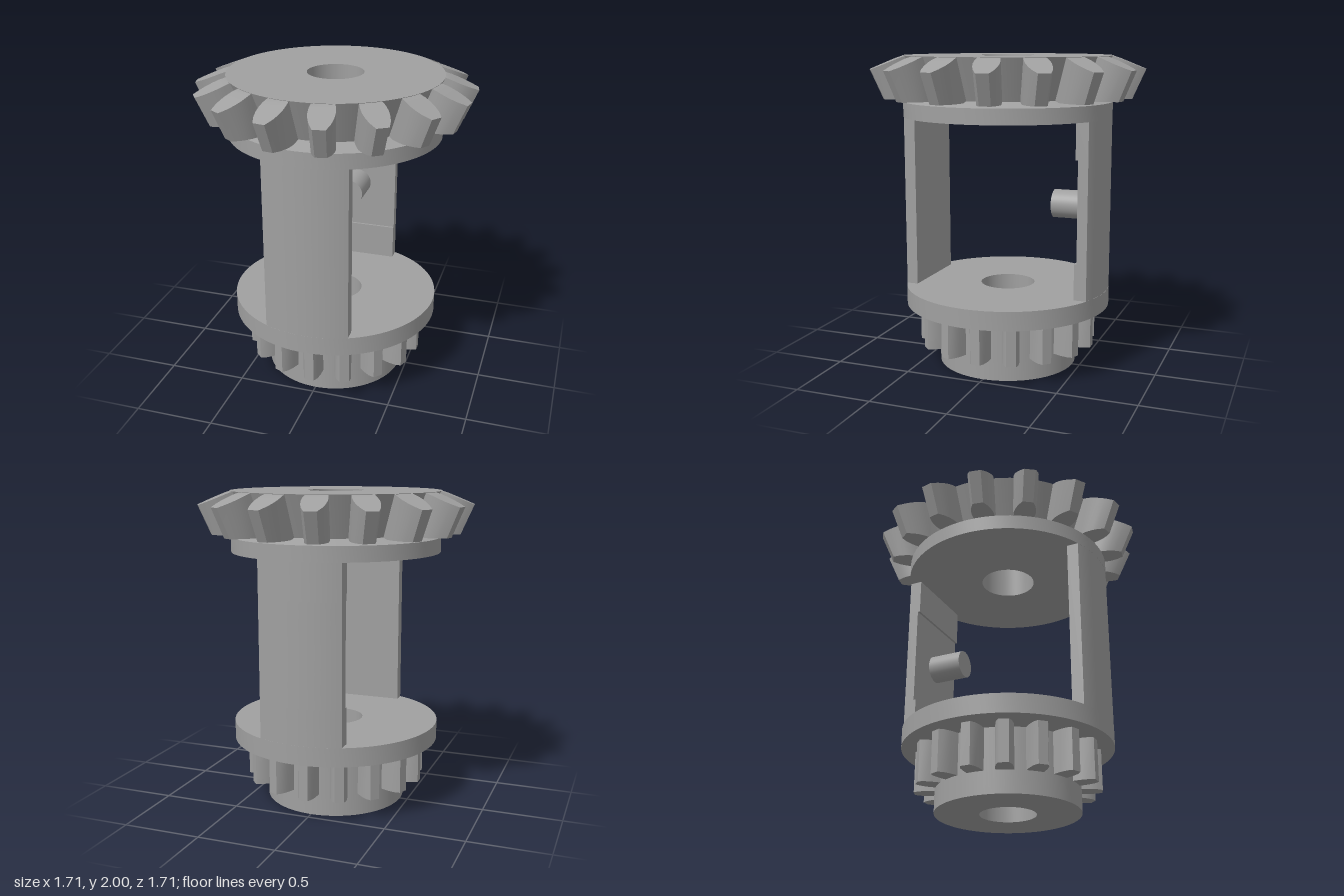
import * as THREE from 'three';
import { toCreasedNormals } from 'three/addons/utils/BufferGeometryUtils.js';

const TEETH = 16;

// Solid of revolution from a closed [radius, y] profile
function turned(profile) {
  const points = profile.concat([profile[0]]).map(([r, y]) => new THREE.Vector2(r, y));
  return toCreasedNormals(new THREE.LatheGeometry(points, 96), 0.5);
}

// Tooth pointing to +z: bottom and top are rows of [radius, y, halfWidth], root to tip
function toothGeometry(bottom, top) {
  const n = top.length;
  const pos = [];
  const index = [];
  for (const rows of [bottom, top]) {
    for (const [r, y, w] of rows) pos.push(w, y, r);
    for (const [r, y, w] of rows.slice().reverse()) pos.push(-w, y, r);
  }
  const m = 2 * n;
  for (let i = 0; i < m; i++) {
    const a = i, b = (i + 1) % m;
    index.push(b, a, a + m, b, a + m, b + m);
  }
  for (let i = 0; i < n - 1; i++) {
    const r0 = i, r1 = i + 1, l0 = m - 1 - i, l1 = m - 2 - i;
    index.push(r0 + m, l0 + m, l1 + m, r0 + m, l1 + m, r1 + m);
    index.push(r0, l1, l0, r0, r1, l1);
  }
  const g = new THREE.BufferGeometry();
  g.setAttribute('position', new THREE.Float32BufferAttribute(pos, 3));
  g.setIndex(index);
  return toCreasedNormals(g, 0.5);
}

// Curved outside, flat inside; the rounded side faces -z
function wallGeometry(inner, y0, y1) {
  const R = 0.664, half = Math.asin(0.265 / R);
  const shape = new THREE.Shape();
  shape.moveTo(-0.265, inner);
  shape.lineTo(0.265, inner);
  shape.absarc(0, 0, R, Math.PI / 2 - half, Math.PI / 2 + half, false);
  shape.closePath();
  const g = new THREE.ExtrudeGeometry(shape, { depth: y1 - y0, bevelEnabled: false, curveSegments: 16 });
  g.rotateX(-Math.PI / 2);
  g.translate(0, y0, 0);
  return toCreasedNormals(g, 0.5);
}

export function createModel() {
  const model = new THREE.Group();
  model.name = 'differentialCasing';
  const grey = new THREE.MeshStandardMaterial({ color: 0xa0a0a0 });
  grey.name = 'grey plastic';

  const add = (name, geometry, parent = model) => {
    const mesh = new THREE.Mesh(geometry, grey);
    mesh.name = name;
    parent.add(mesh);
    return mesh;
  };
  const addRing = (name, geometry, offset) => {
    const ring = new THREE.Group();
    ring.name = name;
    for (let i = 0; i < TEETH; i++) {
      add('tooth', geometry, ring).rotation.y = ((i + offset) / TEETH) * Math.PI * 2;
    }
    model.add(ring);
  };

  // Lower hub with flange, bored through
  add('lowerHub', turned([
    [0.175, 0], [0.45, 0], [0.45, 0.4], [0.665, 0.4], [0.665, 0.52], [0.175, 0.52],
  ]));

  // Upper flange and conical gear body
  add('upperGearBody', turned([
    [0.175, 1.62], [0.665, 1.62], [0.665, 1.715], [0.555, 1.745], [0.665, 2], [0.175, 2],
  ]));

  // Straight gear teeth under the lower flange
  const spur = [[0.42, 0.054], [0.5, 0.053], [0.545, 0.046], [0.577, 0.03]];
  addRing('spurTeeth', toothGeometry(
    spur.map(([r, w]) => [r, 0.14, w]),
    spur.map(([r, w]) => [r, 0.41, w]),
  ), 0);

  // Bevel teeth, shrinking toward the bottom
  const bevel = [
    [0.58, 0.06], [0.66, 0.067], [0.7, 0.074], [0.74, 0.076],
    [0.78, 0.071], [0.82, 0.06], [0.866, 0.037],
  ];
  addRing('bevelTeeth', toothGeometry(
    bevel.map(([r, w]) => [r * 0.907, 1.735, w * 0.907]),
    bevel.map(([r, w]) => [r, Math.min(1.998, 2 - 0.4 * (r - 0.662)), w]),
  ), 0.5);

  // Side walls; the back one has a shallow recess
  add('frontWall', wallGeometry(0.535, 0.515, 1.625)).rotation.y = Math.PI;
  add('backWallLower', wallGeometry(0.53, 0.515, 0.75));
  add('backWallMiddle', wallGeometry(0.545, 0.75, 1.39));
  add('backWallUpper', wallGeometry(0.53, 1.39, 1.625));

  // Axle pin on the back wall
  const pin = add('axlePin', new THREE.CylinderGeometry(0.09, 0.09, 0.24, 40));
  pin.rotation.x = Math.PI / 2;
  pin.position.set(0, 1.07, -0.44);

  return model;
}
